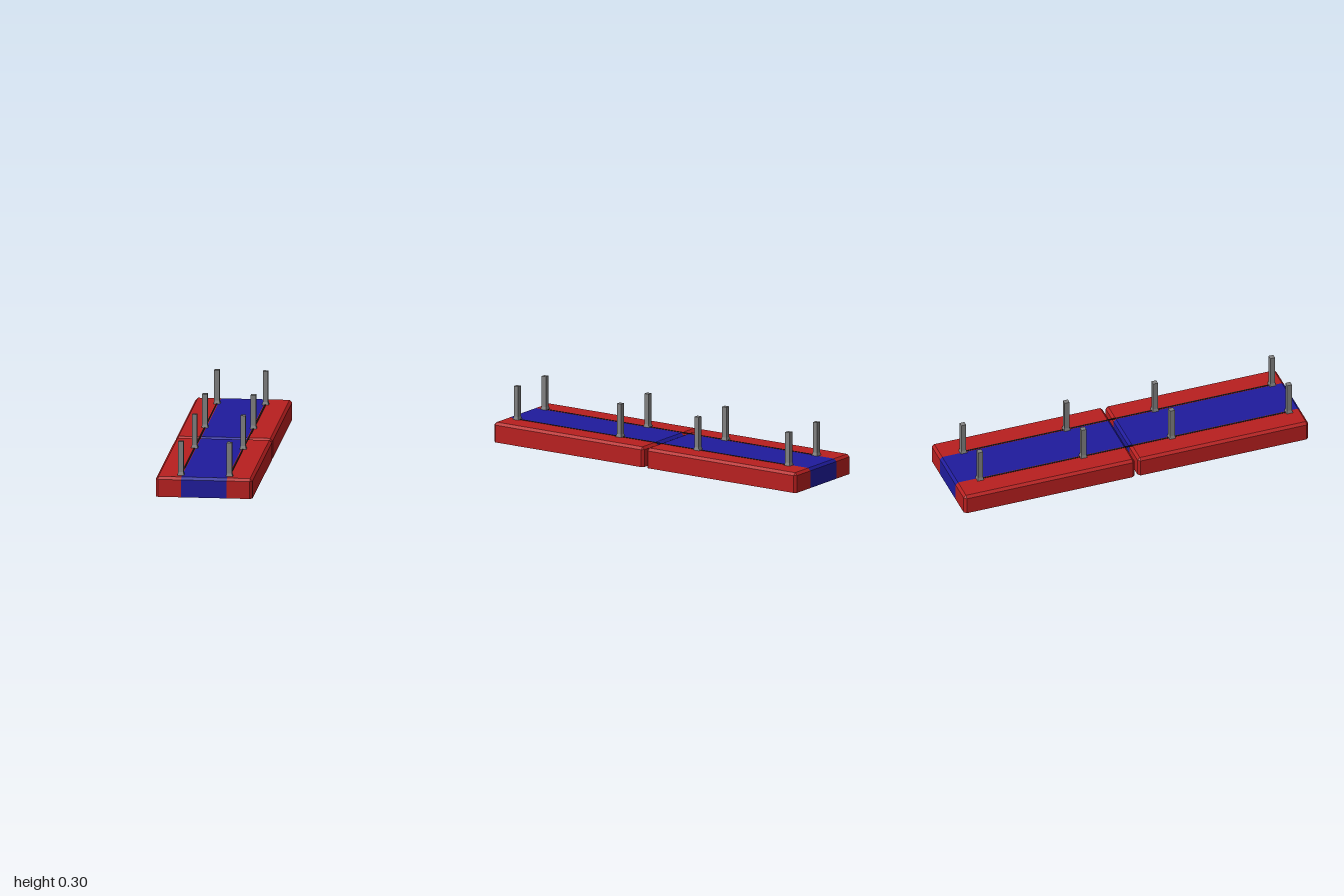
import * as THREE from 'three';
import { ConvexGeometry } from 'three/addons/geometries/ConvexGeometry.js';

const H = 0.111, C = 0.014, HALF = 0.265, STRIPE = 0.125, RAIL_X = 0.133;

const mat = (color) => new THREE.MeshStandardMaterial({ color, flatShading: true });

function add(parent, name, geometry, material, x = 0, y = 0, z = 0) {
  const mesh = new THREE.Mesh(geometry, material);
  mesh.name = name;
  mesh.position.set(x, y, z);
  parent.add(mesh);
  return mesh;
}

// Convex block from a footprint at the floor and chamfer line, plus a smaller top outline
function block(base, top) {
  const pts = [];
  for (const [x, z] of base) {
    pts.push(new THREE.Vector3(x, 0, z), new THREE.Vector3(x, H - C, z));
  }
  for (const [x, z] of top) pts.push(new THREE.Vector3(x, H, z));
  return new ConvexGeometry(pts);
}

export function createModel() {
  const model = new THREE.Group();
  const red = mat(0xb81f1f), blue = mat(0x1f1b9c), grey = mat(0x808080), dark = mat(0x1a1a1a);

  // Two slabs, end to end with a narrow gap
  for (const [name, z0, z1] of [['backSlab', -1, -0.009], ['frontSlab', 0.009, 1]]) {
    const slab = new THREE.Group();
    slab.name = name;
    model.add(slab);

    // Centre stripe with chamfered ends
    const rect = (a, b) => [[-STRIPE, a], [STRIPE, a], [STRIPE, b], [-STRIPE, b]];
    add(slab, 'centreStripe', block(rect(z0, z1), rect(z0 + C, z1 - C)), blue);

    // Side borders with cut outer corners and chamfered top edges
    for (const s of [-1, 1]) {
      const i = s * STRIPE, o = s * HALF, m = s * (HALF - C);
      const base = [[i, z0], [m, z0], [o, z0 + C], [o, z1 - C], [m, z1], [i, z1]];
      const top = [[i, z0 + C], [m, z0 + C], [m, z1 - C], [i, z1 - C]];
      add(slab, s > 0 ? 'leftBorder' : 'rightBorder', block(base, top), red);
    }
  }

  // Square posts with a flared foot, profile as [half width, height]
  const postGeometry = new ConvexPost([[0.0185, 0], [0.014, 0.017], [0.014, 0.187]]).geometry;
  const postZ = [-0.863, -0.263, 0.25, 0.93];
  for (const s of [-1, 1]) {
    const side = s > 0 ? 'left' : 'right';
    for (const z of postZ) add(model, side + 'Post', postGeometry, grey, s * RAIL_X, H, z);

    // Thin line joining the feet of the posts
    const length = postZ[3] - postZ[0];
    add(model, side + 'Line', new THREE.BoxGeometry(0.008, 0.004, length), dark,
      s * RAIL_X, H, (postZ[0] + postZ[3]) / 2);
  }
  return model;
}

// Four-sided lathe: half widths become corner radii, turned square to the axes
class ConvexPost {
  constructor(profile) {
    const pts = profile.map(([w, y]) => new THREE.Vector2(w * Math.SQRT2, y));
    pts.unshift(new THREE.Vector2(0, 0));
    pts.push(new THREE.Vector2(0, profile[profile.length - 1][1]));
    this.geometry = new THREE.LatheGeometry(pts, 4, Math.PI / 4).toNonIndexed();
    this.geometry.computeVertexNormals();
  }
}
